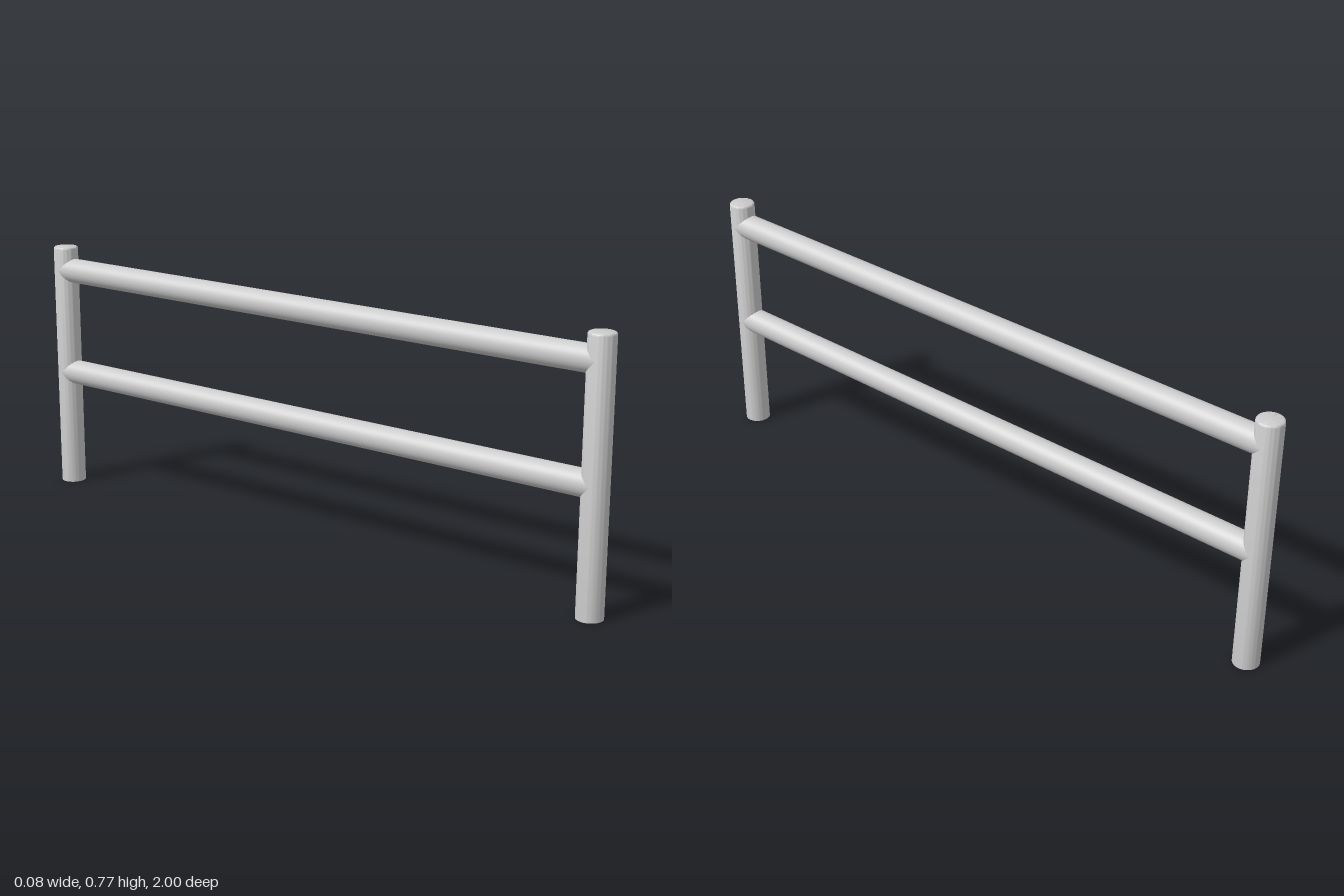
import * as THREE from 'three';
import { toCreasedNormals } from 'three/addons/utils/BufferGeometryUtils.js';

const RADIUS = 0.038;
const HEIGHT = 0.77;
const POST_Z = 1 - RADIUS;
const BEVEL = 0.007;
const SIDES = 48;

export function createModel() {
  const group = new THREE.Group();
  group.name = 'railing';
  const material = new THREE.MeshStandardMaterial({ color: 0xcccccc });

  const add = (name, geometry, y, z) => {
    const mesh = new THREE.Mesh(geometry, material);
    mesh.name = name;
    mesh.position.set(0, y, z);
    group.add(mesh);
  };

  // Upright post: flat foot, softly rounded top edge
  const profile = [new THREE.Vector2(0, 0), new THREE.Vector2(RADIUS, 0)];
  for (let i = 0; i <= 4; i++) {
    const a = (i / 4) * Math.PI / 2;
    profile.push(new THREE.Vector2(
      RADIUS - BEVEL + BEVEL * Math.cos(a),
      HEIGHT - BEVEL + BEVEL * Math.sin(a)
    ));
  }
  profile.push(new THREE.Vector2(0, HEIGHT));
  const post = toCreasedNormals(new THREE.LatheGeometry(profile, SIDES), 0.6);
  add('frontPost', post, 0, POST_Z);
  add('backPost', post, 0, -POST_Z);

  // Horizontal rails, running between the post axes
  const rail = new THREE.CylinderGeometry(RADIUS, RADIUS, 2 * POST_Z, SIDES);
  rail.rotateX(Math.PI / 2);
  add('upperRail', rail, 0.695, 0);
  add('lowerRail', rail, 0.365, 0);

  return group;
}
